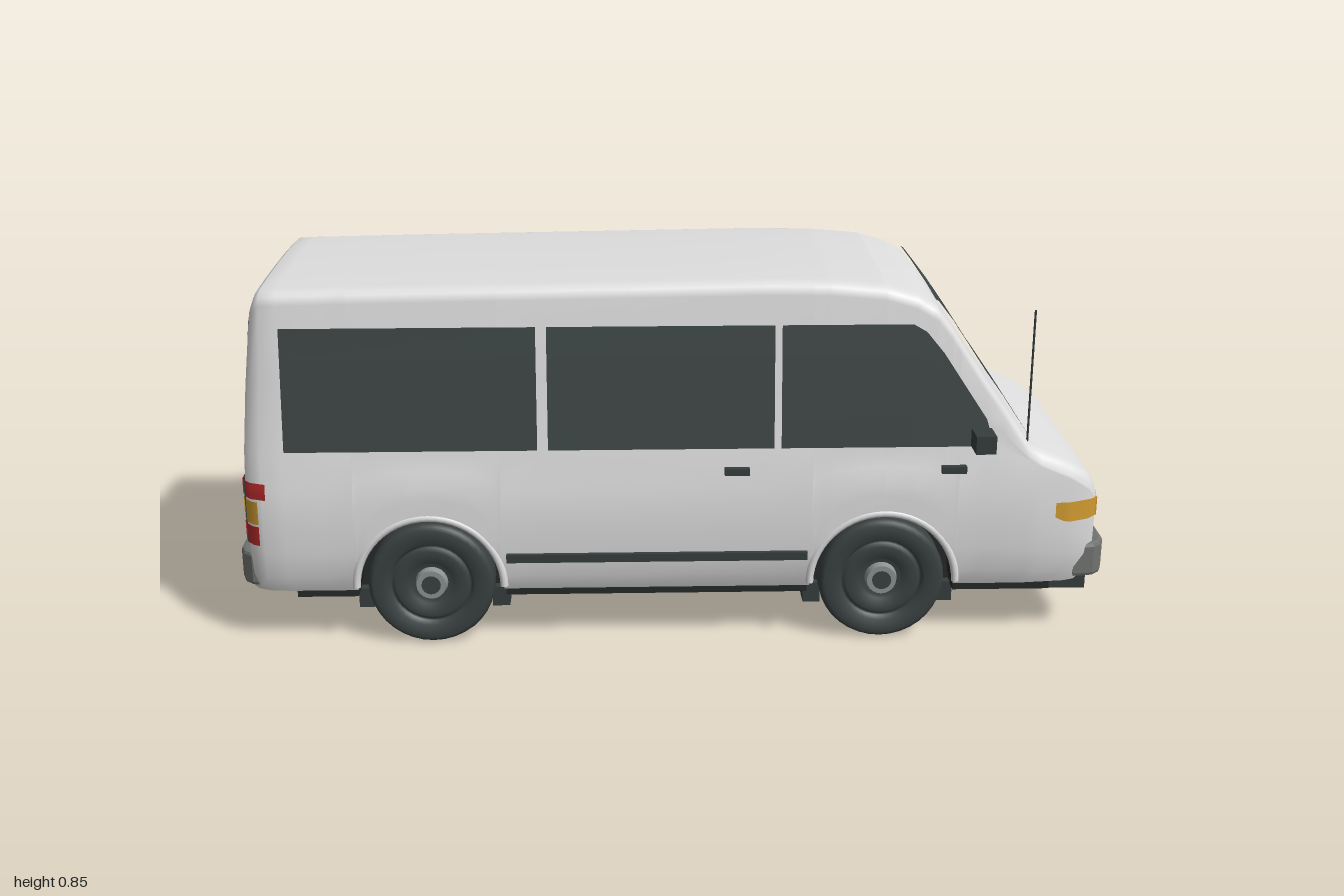
import * as THREE from 'three';

const mat = (name, color) => Object.assign(new THREE.MeshStandardMaterial({ color }), { name });
// piecewise linear lookup in a [key, value] table
function lerpTable(t, x) {
  if (x <= t[0][0]) return t[0][1];
  for (let i = 1; i < t.length; i++) {
    const [a, p] = t[i - 1], [b, q] = t[i];
    if (x <= b) return p + (q - p) * (x - a) / (b - a);
  }
  return t[t.length - 1][1];
}

// roof, windscreen and bonnet line along the length
const TOP = [[-.97, .79], [-.955, .815], [-.93, .828], [-.6, .834], [.2, .845], [.35, .843], [.47, .832], [.54, .812],
  [.585, .785], [.62, .74], [.7, .62], [.74, .565], [.8, .475], [.83, .457], [.9, .427], [.945, .395], [.96, .375], [.967, .36]];
// narrowing in plan at both ends
const PLAN = [[-.97, .9], [-.955, .95], [-.93, .985], [-.88, 1], [.8, 1], [.9, .97], [.945, .92], [.96, .88], [.967, .86]];
// half width by height
const SIDE = [[.13, .335], [.17, .352], [.25, .36], [.38, .357], [.46, .338], [.82, .294]];
const AXLES = [-.56, .475], ARCH = .165, HUB_Y = .145;

const topAt = x => lerpTable(TOP, x);
const halfWidth = (x, y) => lerpTable(SIDE, y) * lerpTable(PLAN, x);
function bottomAt(x) {
  let b = .13;
  for (const c of AXLES) {
    const d = ARCH * ARCH - (x - c) ** 2;
    if (d >= -1e-9) b = Math.max(b, HUB_Y + Math.sqrt(Math.max(0, d)));
  }
  return b;
}
// the tailgate leans forward above the belt line
const leanAt = (x, y) => x + Math.max(0, y - .5) * .1 * Math.min(1, Math.max(0, (-.9 - x) / .07));

// skin over rows of points
function loft(rows) {
  const n = rows[0].length, idx = [];
  for (let i = 0; i < rows.length - 1; i++) for (let j = 0; j < n - 1; j++) {
    const a = i * n + j, b = a + n;
    idx.push(a, b, b + 1, a, b + 1, a + 1);
  }
  const g = new THREE.BufferGeometry();
  g.setAttribute('position', new THREE.Float32BufferAttribute(rows.flat(2), 3));
  g.setIndex(idx);
  g.computeVertexNormals();
  return g;
}

// full cross-section of the shell, left sill over the roof to the right sill
function section(x) {
  const T = topAt(x), B = bottomAt(x), E = Math.min(.46, T - .04), S = T - .035;
  const half = [];
  for (const f of [0, .12, .3, .5, .75, 1]) { const y = B + (E - B) * f; half.push([y, halfWidth(x, y)]); }
  for (const f of [.5, 1]) { const y = E + (S - E) * f; half.push([y, halfWidth(x, y)]); }
  const w = halfWidth(x, S);
  half.push([T - .017, w - .007], [T - .009, w - .02], [T - .005, w - .04], [T - .001, w * .45]);
  const point = (y, z) => [leanAt(x, y), y, z];
  return [...half.map(([y, z]) => point(y, z)), point(T, 0), ...half.reverse().map(([y, z]) => point(y, -z))];
}

// flat end of the shell
function endCap(sec, front) {
  const pos = [], ring = [...sec, sec[0]], c = [sec[0][0], .3, 0];
  for (let j = 0; j < ring.length - 1; j++) pos.push(c, ...(front ? [ring[j + 1], ring[j]] : [ring[j], ring[j + 1]]));
  const g = new THREE.BufferGeometry();
  g.setAttribute('position', new THREE.Float32BufferAttribute(pos.flat(), 3));
  g.computeVertexNormals();
  return g;
}

// thin skin hugging the body side; columns are [x, low y, high y]
function sidePatch(columns, s, lift = .005) {
  return loft(columns.map(([x, lo, hi]) => {
    const row = [0, .25, .5, .75, 1].map(f => {
      const y = lo + (hi - lo) * f;
      return [leanAt(x, y), y, s * (halfWidth(x, y) + lift)];
    });
    return s > 0 ? row : row.reverse();
  }));
}

export function createModel() {
  const van = new THREE.Group();
  van.name = 'van';
  const paint = mat('white paint', 0xdedede), glass = mat('dark glass', 0x3c4444), trim = mat('dark trim', 0x363e3e),
    under = mat('underbody', 0x262929), bumperGrey = mat('bumper grey', 0x70736f), lens = mat('clear lens', 0xd0d6d4),
    amber = mat('amber lens', 0xd09a30), red = mat('red lens', 0xb52a2a), tyre = mat('tyre rubber', 0x3a4141), metal = mat('hub metal', 0x8d9292);
  const add = (name, geo, m, x = 0, y = 0, z = 0, parent = van) => {
    const o = new THREE.Mesh(geo, m);
    o.name = name;
    o.position.set(x, y, z);
    parent.add(o);
    return o;
  };
  // box from its limits
  const box = (name, m, x0, x1, y0, y1, z0, z1) =>
    add(name, new THREE.BoxGeometry(x1 - x0, y1 - y0, Math.abs(z1 - z0)), m, (x0 + x1) / 2, (y0 + y1) / 2, (z0 + z1) / 2);

  // body shell with wheel arches
  let xs = [...TOP.map(p => p[0]), -.88, -.8, -.3, -.1];
  for (const c of AXLES) {
    xs = xs.filter(x => Math.abs(x - c) > ARCH + .004);
    xs.push(c - ARCH - .002, c + ARCH + .002);
    for (let k = 0; k <= 20; k++) xs.push(c - ARCH * Math.cos(k * Math.PI / 20));
    for (const p of TOP) if (Math.abs(p[0] - c) <= ARCH + .004) xs.push(p[0]);
  }
  xs = xs.sort((a, b) => a - b).filter((x, i, a) => !i || x - a[i - 1] > .0015);
  add('bodyShell', loft(xs.map(section)), paint);
  add('nosePanel', endCap(section(.967), true), paint);
  add('tailgate', endCap(section(-.97), false), paint);

  // underside, floor and cross members
  add('underside', loft(xs.map(x => {
    const y = bottomAt(x), z = halfWidth(x, y);
    return [[x, y, -z], [x, y, z]];
  })), under);
  box('floor', under, -.87, .87, .11, .3, -.262, .262);
  for (const [a, b] of [[-.87, -.73], [-.39, .305], [.645, .87]]) box('sill', under, a, b, .108, .135, -.32, .32);
  box('frontValance', trim, .86, .955, .107, .137, -.315, .315);
  for (const c of AXLES) for (const d of [-.155, .155]) box('crossMember', trim, c + d - .02, c + d + .02, .065, .112, -.285, .285);

  // windscreen and tailgate window
  add('windscreen', loft([[.578, .265], [.585, .265], [.62, .265], [.7, .267], [.74, .272], [.775, .285], [.798, .297]].map(([x, h]) => {
    const y = topAt(x) + .005;
    return [[x + .006, y - .004, h], [x + .006, y, h * .45], [x + .006, y, -h * .45], [x + .006, y - .004, -h]];
  })), glass);
  const rearWindow = add('rearWindow', new THREE.BoxGeometry(.008, .25, .51), glass, -.9575, .625, 0);
  rearWindow.rotation.z = -Math.atan(.1);

  // bumpers
  const plan = [[.93, -.32], [.965, -.315], [.982, -.3], [.99, -.277], [.99, .277], [.982, .3], [.965, .315], [.93, .32]];
  const bumper = new THREE.ExtrudeGeometry(new THREE.Shape(plan.map(p => new THREE.Vector2(...p))),
    { depth: .064, bevelThickness: .009, bevelSize: .009, bevelSegments: 2 });
  bumper.rotateX(-Math.PI / 2);
  add('frontBumper', bumper, bumperGrey, 0, .148, 0);
  add('rearBumper', bumper, bumperGrey, 0, .148, 0).rotation.y = Math.PI;
  box('frontNumberPlate', lens, .994, 1, .143, .21, -.07, .07);

  // grille
  box('grille', trim, .962, .971, .293, .329, -.162, .162);
  for (const y of [.3, .318]) box('grilleSlat', lens, .966, .973, y, y + .004, -.153, .153);
  box('grilleCentre', lens, .966, .976, .299, .322, -.02, .02);

  // tailgate fittings
  box('tailgatePlateFrame', trim, -.976, -.966, .3, .38, -.11, .11);
  box('tailgatePlate', paint, -.979, -.97, .306, .374, -.104, .104);
  box('tailgateHandle', trim, -.98, -.966, .405, .415, -.13, .13);

  for (const s of [1, -1]) {
    // side windows
    add('rearSideWindow', sidePatch([[-.875, .468, .745], [-.31, .468, .745]], s), glass);
    add('middleSideWindow', sidePatch([[-.286, .468, .745], [.222, .468, .745]], s), glass);
    add('cabWindow', sidePatch([[.238, .468, .745], [.53, .468, .745], [.56, .468, .728], [.6, .468, .68], [.7, .468, .53], [.706, .468, .51]], s), glass);

    // rubbing strip and door handles
    box('rubbingStrip', trim, -.385, .3, .207, .226, s * .353, s * .369);
    for (const x of [.11, .6]) box('doorHandle', trim, x, x + .056, .41, .426, s * .345, s * .362);

    // headlamps and wrapped indicators
    box('headlampFrame', trim, .962, .971, .279, .338, s * .17, s * .288);
    for (const z of [.176, .236]) box('headlampLens', lens, .966, .974, .285, .332, s * z, s * (z + .047));
    add('frontIndicator', sidePatch([[.865, .3, .335], [.885, .29, .335], [.9, .288, .335], [.945, .288, .335], [.96, .288, .333], [.967, .288, .333]], s), amber);
    box('indicatorFront', amber, .962, .97, .288, .332, s * .291, s * .312);

    // tail lamps, stacked and wrapped round the corner
    box('tailLampFrame', trim, -.975, -.966, .245, .402, s * .237, s * .315);
    const lamps = [[red, .36, .397, -.92], [amber, .3, .354, -.94], [red, .25, .295, -.94]];
    for (const [m, lo, hi, x] of lamps) {
      box('tailLamp', m, -.978, -.97, lo, hi, s * .243, s * .31);
      add('tailLampSide', sidePatch([[-.97, lo, hi], [-.955, lo, hi], [x, lo, hi]], s), m);
    }

    // door mirror
    box('mirrorArm', trim, .67, .695, .465, .492, s * .33, s * .37);
    box('mirrorHead', trim, .66, .705, .479, .52, s * .366, s * .428);

    // wheels and arch lips
    for (const c of AXLES) {
      const wheel = new THREE.Group();
      wheel.name = 'wheel';
      wheel.position.set(c, HUB_Y, s * .307);
      wheel.rotation.x = s * Math.PI / 2;
      van.add(wheel);
      const prof = [[0, -.04], [.13, -.04], [.141, -.033], [.145, -.022], [.145, .022], [.141, .033], [.132, .039],
        [.1, .04], [.094, .026], [.088, .026], [.08, .034], [.05, .03], [.045, .02], [0, .02]];
      add('tyre', new THREE.LatheGeometry(prof.map(p => new THREE.Vector2(...p)), 36), tyre, 0, 0, 0, wheel);
      add('hub', new THREE.CylinderGeometry(.034, .038, .02, 20), metal, 0, .028, 0, wheel);
      add('hubCap', new THREE.CylinderGeometry(.022, .022, .01, 16), tyre, 0, .036, 0, wheel);
      add('archLip', new THREE.TorusGeometry(ARCH + .003, .009, 8, 28, Math.PI), paint, c, HUB_Y, s * .353);
    }
  }

  // aerial
  add('aerial', new THREE.CylinderGeometry(.0025, .0025, .31, 6), trim, .8, .62, .308);
  return van;
}
